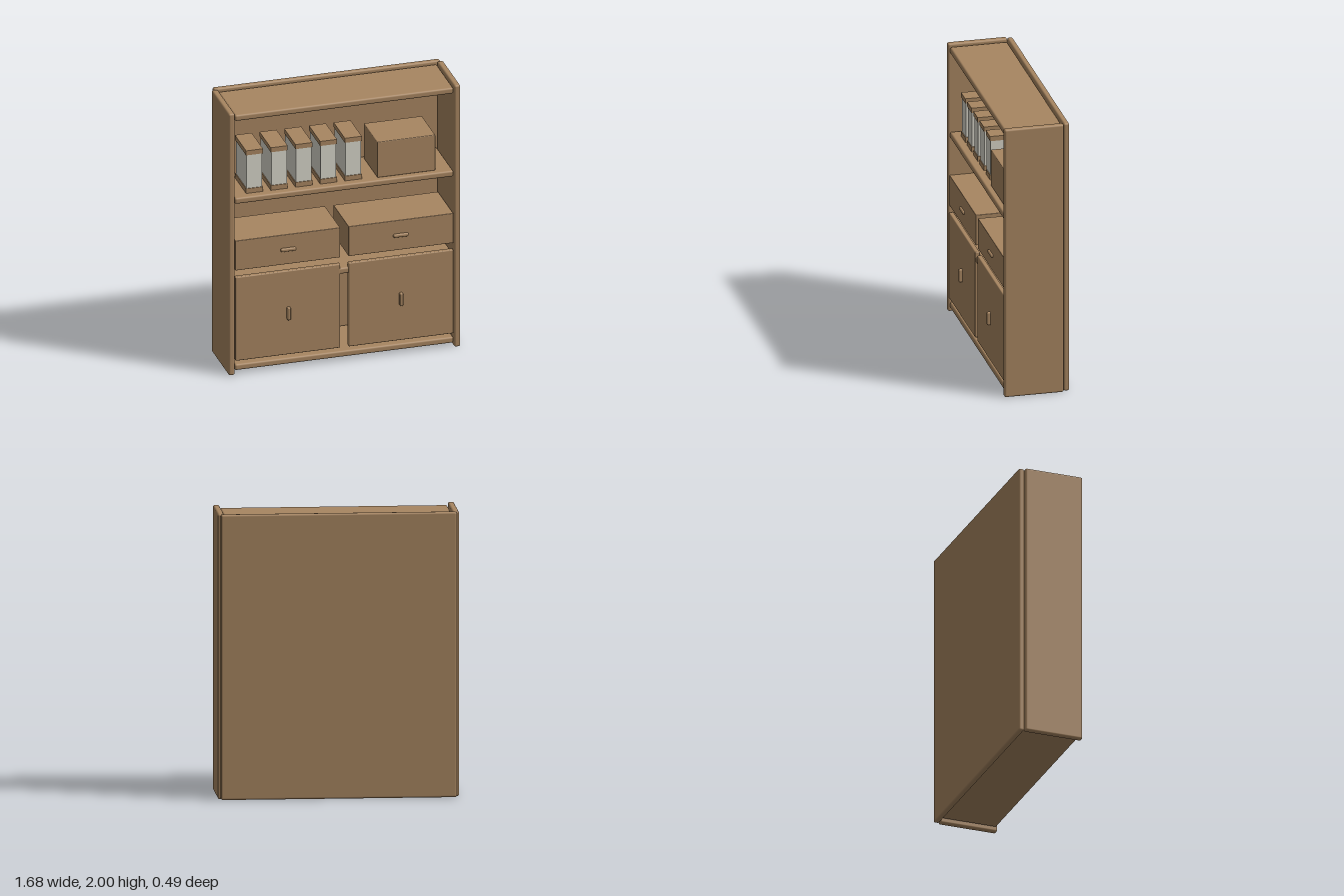
import * as THREE from 'three';
import { RoundedBoxGeometry } from 'three/addons/geometries/RoundedBoxGeometry.js';

export function createModel() {
  const cabinet = new THREE.Group();
  cabinet.name = 'cabinet';
  const wood = new THREE.MeshStandardMaterial({ color: 0xa88661 });
  wood.name = 'wood';
  const glass = new THREE.MeshStandardMaterial({ color: 0xd8d6ca });
  glass.name = 'paleGlass';

  // Box given by its extents; a radius above zero rounds the edges
  function box(name, [x0, x1], [y0, y1], [z0, z1], radius = 0, material = wood, parent = cabinet) {
    const size = [x1 - x0, y1 - y0, z1 - z0];
    const geometry = radius > 0
      ? new RoundedBoxGeometry(...size, 3, radius)
      : new THREE.BoxGeometry(...size);
    const mesh = new THREE.Mesh(geometry, material);
    mesh.name = name;
    mesh.position.set((x0 + x1) / 2, (y0 + y1) / 2, (z0 + z1) / 2);
    parent.add(mesh);
    return mesh;
  }

  // Carcass
  box('backPanel', [-0.82, 0.82], [0, 2], [-0.243, -0.202], 0.014);
  for (const [side, s] of [['left', 1], ['right', -1]]) {
    const span = (a, b) => (s > 0 ? [a, b] : [-b, -a]);
    box(side + 'SidePanel', span(0.793, 0.838), [0, 2], [-0.2, 0.224], 0.014);

    // Drawer with a horizontal pull
    box(side + 'Drawer', span(0.03, 0.788), [0.795, 1.022], [-0.155, 0.215], 0.004);
    box(side + 'DrawerHandle', span(0.352, 0.462), [0.895, 0.921], [0.205, 0.23], 0.01);

    // Door with a vertical pull
    box(side + 'Door', span(0.03, 0.788), [0.105, 0.745], [0.185, 0.22], 0.008);
    box(side + 'DoorHandle', span(0.394, 0.419), [0.375, 0.472], [0.212, 0.245], 0.009);
  }

  // Shelves, from bottom to top
  const shelves = { bottomShelf: 0.052, lowerShelf: 0.687, upperShelf: 1.323, topShelf: 1.957 };
  for (const [name, y] of Object.entries(shelves)) {
    box(name, [-0.79, 0.79], [y - 0.023, y + 0.023], [-0.197, 0.213], 0.014);
  }

  // Row of jars with wooden bases and lids
  for (let i = 0; i < 5; i++) {
    const x = -0.632 + i * 0.1785;
    const jar = new THREE.Group();
    jar.name = 'jar' + (i + 1);
    cabinet.add(jar);
    box('jarBase', [x - 0.061, x + 0.061], [1.346, 1.382], [-0.115, 0.156], 0, wood, jar);
    box('jarGlass', [x - 0.056, x + 0.056], [1.382, 1.637], [-0.11, 0.151], 0, glass, jar);
    box('jarLid', [x - 0.061, x + 0.061], [1.637, 1.672], [-0.115, 0.156], 0, wood, jar);
  }

  // Storage box beside the jars
  box('storageBox', [0.25, 0.67], [1.348, 1.62], [-0.15, 0.176], 0.006);

  return cabinet;
}
